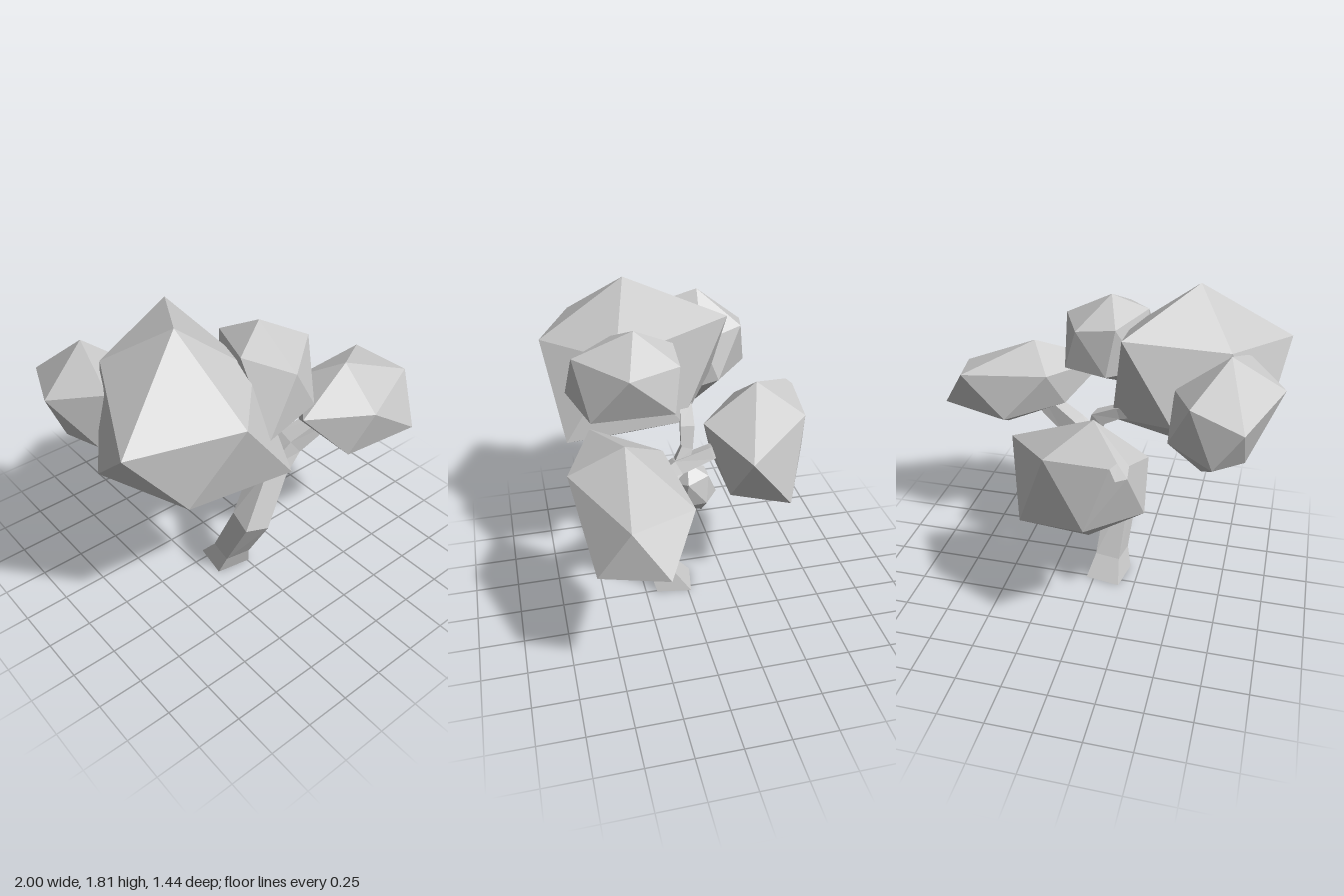
import * as THREE from 'three';
import { ConvexGeometry } from 'three/addons/geometries/ConvexGeometry.js';

const material = new THREE.MeshStandardMaterial({ color: 0xcccccc, flatShading: true });
const UP = new THREE.Vector3(0, 1, 0);

// Faceted leaf clump: top, upper ring, lower ring, bottom
function clump(name, points) {
  const mesh = new THREE.Mesh(new ConvexGeometry(points.map(p => new THREE.Vector3(...p))), material);
  mesh.name = name;
  return mesh;
}

// Four-sided limb through [x, y, z, radius] stations; the first levelCount sections stay horizontal
function limb(name, stations, levelCount = 0) {
  const n = stations.length - 1;
  const centres = stations.map(s => new THREE.Vector3(s[0], s[1], s[2]));
  const turns = centres.map((c, i) => {
    const dir = centres[Math.min(i + 1, n)].clone().sub(centres[Math.max(i - 1, 0)]).normalize();
    return new THREE.Quaternion().setFromUnitVectors(UP, i < levelCount ? UP : dir);
  });
  const geometry = new THREE.CylinderGeometry(1, 1, 1, 4, n).rotateY(Math.PI / 4 - 0.17);
  const pos = geometry.attributes.position;
  const v = new THREE.Vector3();
  for (let k = 0; k < pos.count; k++) {
    v.fromBufferAttribute(pos, k);
    const i = Math.round((v.y + 0.5) * n);
    v.setY(0).multiplyScalar(stations[i][3]).applyQuaternion(turns[i]).add(centres[i]);
    pos.setXYZ(k, v.x, v.y, v.z);
  }
  const flat = geometry.toNonIndexed();
  flat.computeVertexNormals();
  const mesh = new THREE.Mesh(flat, material);
  mesh.name = name;
  return mesh;
}

export function createModel() {
  const tree = new THREE.Group();
  tree.name = 'tree';

  // Trunk running into the right branch, then the two thinner branches
  tree.add(
    limb('trunk', [
      [-0.075, 0, 0.065, 0.145], [-0.08, 0.12, 0.13, 0.105], [-0.105, 0.485, 0.325, 0.105],
      [0.07, 0.74, 0.275, 0.1], [0.2, 0.87, 0.29, 0.08], [0.42, 1.0, 0.36, 0.06],
    ], 2),
    limb('backBranch', [[0.09, 0.78, 0.25, 0.09], [0.03, 0.9, 0.06, 0.06], [0.02, 0.96, -0.13, 0.05], [0, 1.0, -0.3, 0.04]]),
    limb('upperBranch', [
      [0.02, 0.91, 0.04, 0.055], [0, 1.0, 0, 0.045], [-0.03, 1.1, -0.01, 0.055],
      [-0.15, 1.16, -0.03, 0.045], [-0.5, 1.25, -0.12, 0.03],
    ]),
  );

  // Leaf clumps
  tree.add(
    clump('largeFoliage', [
      [-0.51, 1.81, 0.24],
      [-1, 1.46, 0.51], [-0.48, 1.5, 0.72], [-0.13, 1.5, 0.35], [-0.2, 1.66, -0.27], [-0.72, 1.57, -0.08],
      [-0.92, 1.13, 0.15], [-0.72, 1.1, 0.6], [-0.12, 1.04, 0.64], [-0.1, 1.1, 0], [-0.46, 1.2, -0.24],
      [-0.43, 0.88, 0.24],
    ]),
    clump('topFoliage', [
      [-0.03, 1.7, 0.27],
      [0.24, 1.55, 0.34], [0.12, 1.55, 0.06], [-0.1, 1.58, 0.05], [-0.22, 1.6, 0.36], [-0.07, 1.56, 0.59],
      [0.19, 1.32, 0.1], [0.12, 1.28, 0.53], [-0.25, 1.28, 0.62], [-0.22, 1.3, 0.2], [-0.05, 1.31, 0.04],
      [-0.06, 1.18, 0.3],
    ]),
    clump('rightFoliage', [
      [0.46, 1.33, 0.41],
      [0.41, 1.17, 0.69], [0.9, 1.14, 0.46], [0.83, 1.18, 0.15], [0.33, 1.2, 0.2], [0.05, 1.21, 0.53],
      [1, 0.92, 0.3], [0.83, 0.86, 0.62], [0.31, 0.92, 0.62], [0.25, 1, 0.3], [0.58, 0.92, 0.15],
      [0.65, 0.77, 0.42],
    ]),
    // One corner of this clump is cut off by a small pentagon
    clump('backFoliage', [
      [-0.1, 1.3, -0.42],
      [0.38, 1.07, -0.27], [0.1, 1.17, -0.64], [-0.37, 1.1, -0.37], [-0.02, 1.12, -0.1],
      [-0.27, 1.21, -0.65], [-0.24, 1.19, -0.68], [-0.27, 1.13, -0.69], [-0.32, 1.13, -0.65], [-0.32, 1.18, -0.61],
      [0.27, 0.72, -0.53], [-0.12, 0.84, -0.72], [-0.38, 0.85, -0.5], [-0.25, 0.8, -0.2], [0.2, 0.78, -0.2],
      [-0.08, 0.63, -0.45],
    ]),
    clump('leftFoliage', [
      [-0.73, 1.62, -0.23],
      [-0.84, 1.36, -0.53], [-0.57, 1.43, -0.46], [-0.46, 1.4, -0.2], [-1, 1.43, -0.14], [-0.8, 1.5, 0.1],
      [-0.7, 1.15, -0.52], [-0.45, 1.15, -0.3], [-0.5, 1.05, 0], [-0.85, 1.2, 0.06], [-0.84, 1.08, -0.28],
      [-0.62, 0.95, -0.2],
    ]),
  );

  // Small clump hanging behind the trunk
  const small = new THREE.Mesh(
    new THREE.IcosahedronGeometry(1, 0).rotateX(-1.018).scale(0.1, 0.17, 0.125).rotateX(0.25), material);
  small.position.set(-0.02, 0.715, -0.05);
  small.name = 'smallFoliage';
  tree.add(small);

  return tree;
}
